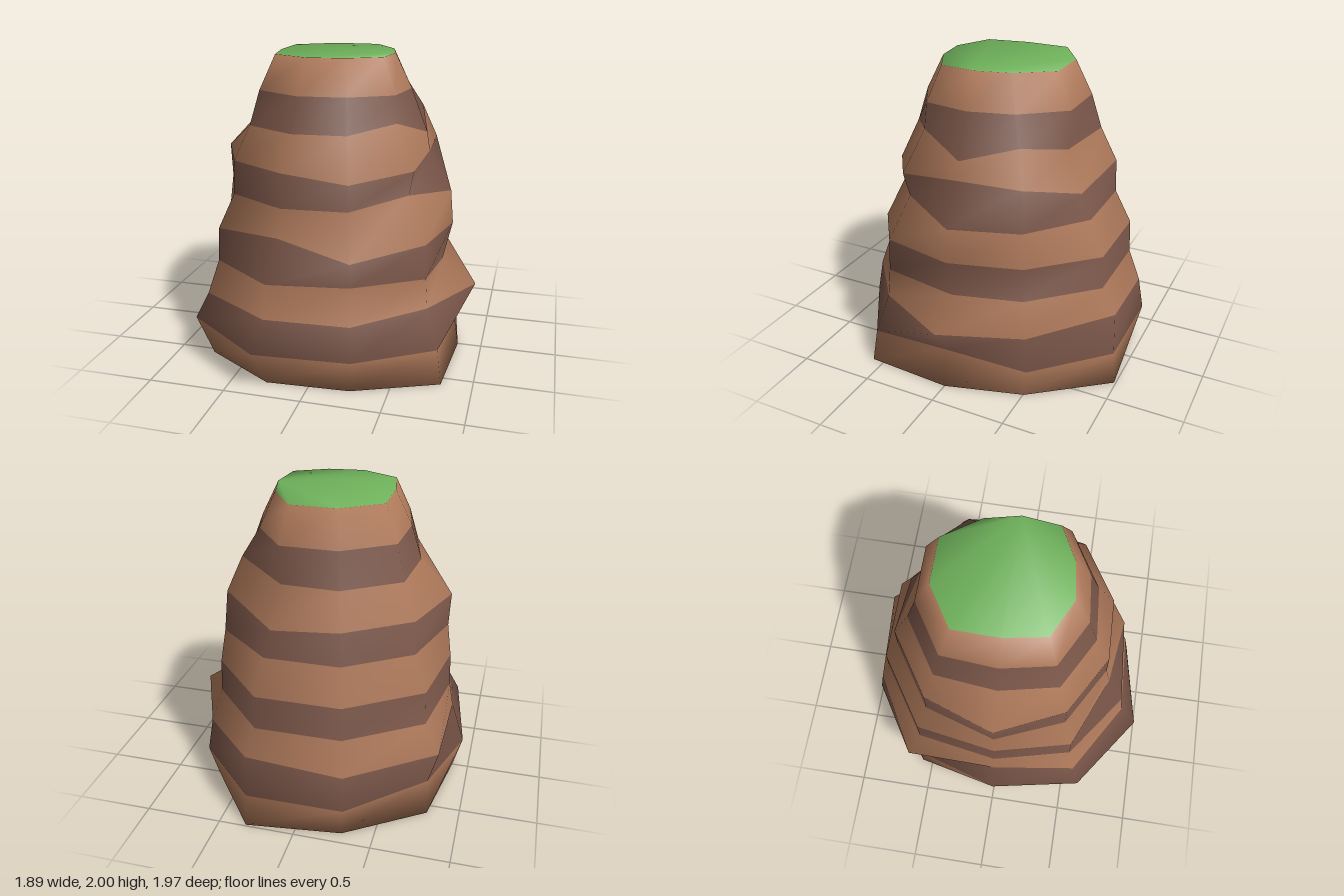
import * as THREE from 'three';

const SIDES = 10;
const HEIGHT = 2;

// Mean radius of each ring from the base up
const RADII = [.91, .97, .93, .85, .84, .73, .72, .61, .54, .43];

// Lean and unevenness shared by all rings, per corner from +x toward +z
const LEAN = [-.07, -.02, -.06, -.03, .02, -.02, .07, .05, .05, -.05];

// Single lumps and dents: ring, corner, change of radius, change of height
const LUMPS = [
  [0, 1, .10, 0], [0, 8, .08, 0],
  [1, 0, -.10, .04], [1, 3, .09, .04], [1, 4, .05, .06], [1, 6, -.07, .03],
  [2, 0, .08, .02], [2, 1, -.06, .03], [2, 5, -.05, .06], [2, 6, .05, .06], [2, 8, .03, .07],
  [3, 0, -.07, -.04], [3, 3, .05, 0],
  [4, 2, .03, -.06], [4, 3, -.07, .04],
  [5, 0, .09, 0], [5, 1, -.05, .06], [5, 5, .08, 0], [5, 9, .07, 0],
  [6, 0, -.05, .04], [6, 2, .02, -.05], [6, 5, .10, 0], [6, 8, -.07, -.07], [6, 9, .05, .05],
  [7, 0, .04, -.06], [7, 1, -.05, .05], [7, 8, -.08, -.03], [7, 9, .05, .05],
];

const lightEarth = new THREE.MeshStandardMaterial({ name: 'light earth', color: 0xae795a });
const darkEarth = new THREE.MeshStandardMaterial({ name: 'dark earth', color: 0x795548 });
const grass = new THREE.MeshStandardMaterial({ name: 'grass', color: 0x6fb25b });

// Triangles of the band between one ring and the next
function bandIndex(ring) {
  const index = [];
  for (let k = 0; k < SIDES; k++) {
    const a = ring * SIDES + k;
    const b = ring * SIDES + (k + 1) % SIDES;
    index.push(a, a + SIDES, b, b, a + SIDES, b + SIDES);
  }
  return index;
}

// Flat cap closing a ring, facing up or down
function capIndex(ring, up) {
  const index = [];
  const s = ring * SIDES;
  for (let k = 1; k < SIDES - 1; k++) {
    if (up) index.push(s, s + k + 1, s + k);
    else index.push(s, s + k, s + k + 1);
  }
  return index;
}

export function createModel() {
  const group = new THREE.Group();
  group.name = 'layeredMound';
  const top = RADII.length - 1;

  // Corners of all rings
  const positions = [];
  RADII.forEach((radius, ring) => {
    for (let k = 0; k < SIDES; k++) {
      const lump = LUMPS.find((l) => l[0] === ring && l[1] === k) ?? [ring, k, 0, 0];
      const angle = k / SIDES * Math.PI * 2;
      const r = radius + LEAN[k] + lump[2];
      const y = ring / top * HEIGHT + lump[3];
      positions.push(r * Math.cos(angle), y, r * Math.sin(angle));
    }
  });

  // Alternating layers between an underside and a grassy top
  const parts = [{ name: 'underside', index: capIndex(0, false), material: darkEarth }];
  for (let i = 0; i < top; i++) {
    const dark = i % 2 === 1;
    parts.push({
      name: (dark ? 'darkLayer' : 'lightLayer') + (Math.floor(i / 2) + 1),
      index: bandIndex(i),
      material: dark ? darkEarth : lightEarth,
    });
  }
  parts.push({ name: 'grassTop', index: capIndex(top, true), material: grass });

  // Smooth normals over the whole mound, shared by every layer
  const whole = new THREE.BufferGeometry();
  whole.setAttribute('position', new THREE.Float32BufferAttribute(positions, 3));
  whole.setIndex(parts.flatMap((p) => p.index));
  whole.computeVertexNormals();

  for (const { name, index, material } of parts) {
    const geometry = new THREE.BufferGeometry();
    geometry.setAttribute('position', whole.getAttribute('position'));
    geometry.setAttribute('normal', whole.getAttribute('normal'));
    geometry.setIndex(index);
    const mesh = new THREE.Mesh(geometry, material);
    mesh.name = name;
    group.add(mesh);
  }
  return group;
}
